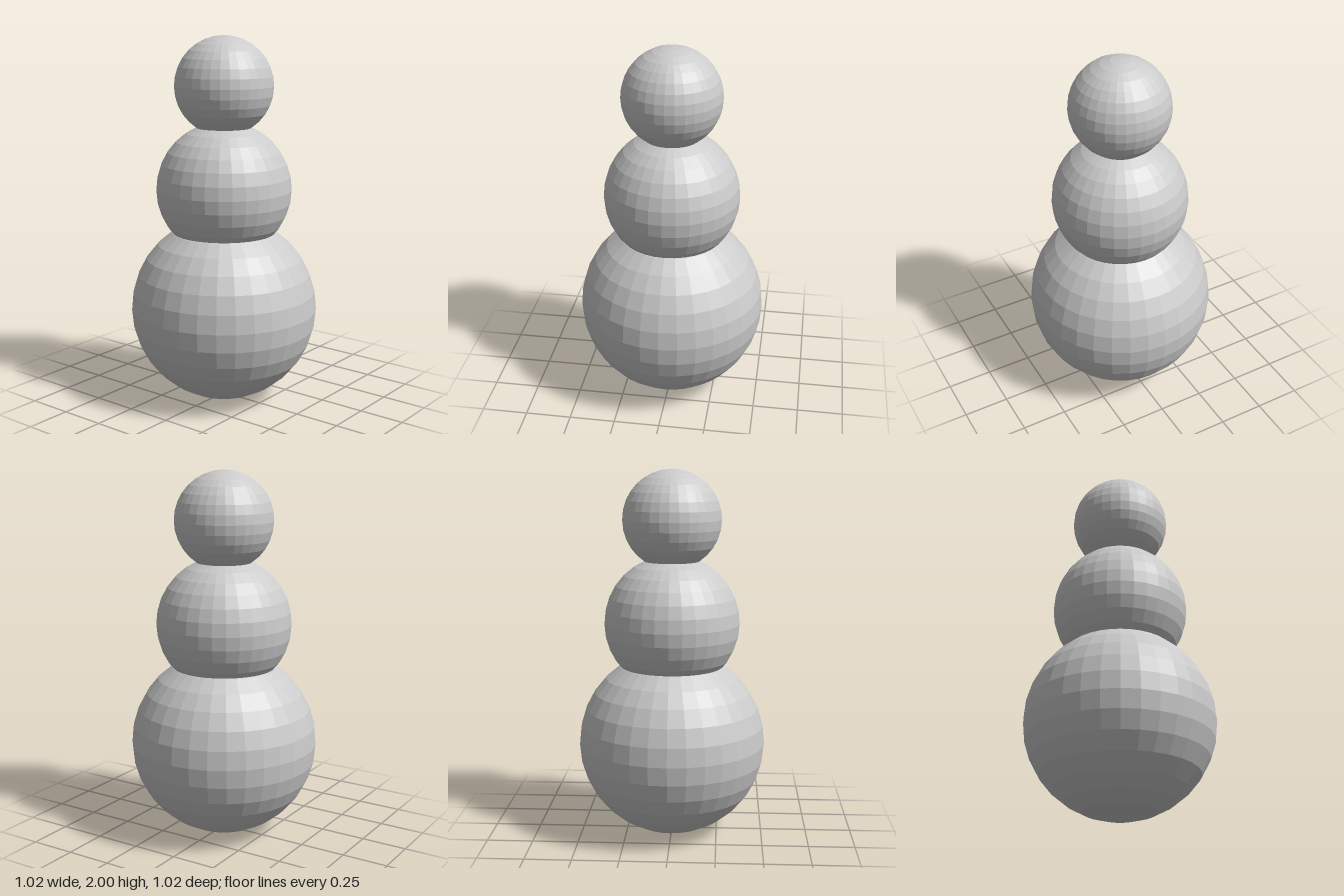
import * as THREE from 'three';

export function createModel() {
  const model = new THREE.Group();
  model.name = 'stackedBalls';
  const material = new THREE.MeshStandardMaterial({ color: 0xcccccc, flatShading: true });

  // Three overlapping faceted balls, from the ground up: name, radius, centre height
  const balls = [
    ['lowerBody', 0.511, 0.511],
    ['upperBody', 0.368, 1.175],
    ['head', 0.267, 1.733],
  ];
  for (const [name, radius, y] of balls) {
    const ball = new THREE.Mesh(new THREE.SphereGeometry(radius, 32, 16), material);
    ball.name = name;
    ball.position.y = y;
    model.add(ball);
  }
  return model;
}
